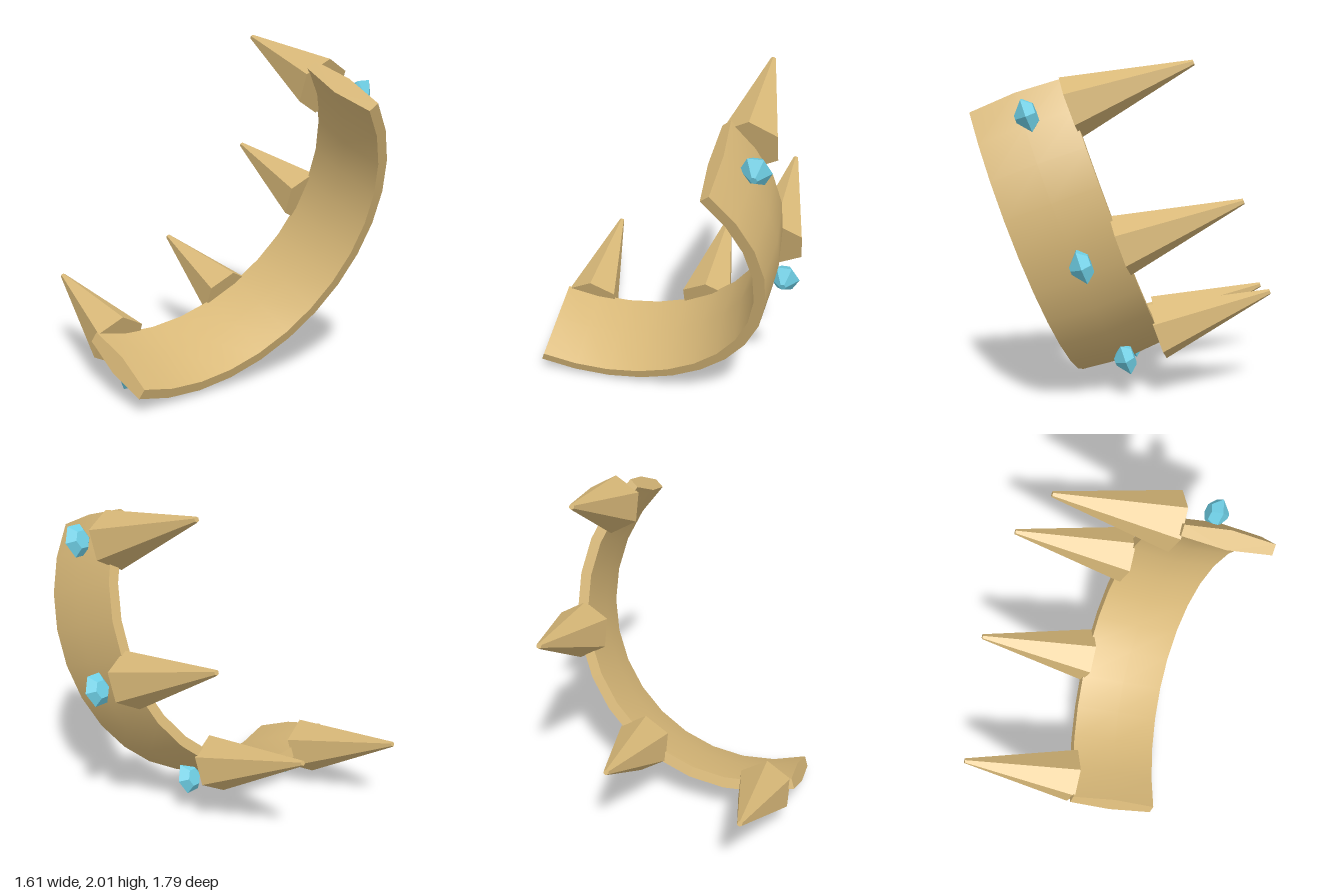
import * as THREE from 'three';
import { mergeGeometries, toCreasedNormals } from 'three/addons/utils/BufferGeometryUtils.js';

const rad = THREE.MathUtils.degToRad;
const START = -110.6, END = 41.3; // arc of the broken ring, in degrees

// Lens-shaped band cross-section: [radius, height], counter-clockwise
const SECTION = [
  [1.085, -0.255], [1.11, 0.02], [1.085, 0.295],
  [1.02, 0.295], [0.995, 0.02], [1.02, -0.255],
].map(([r, h]) => new THREE.Vector2(r, h));

function bandGeometry() {
  const ring = new THREE.LatheGeometry([...SECTION, SECTION[0]], 13, rad(90 - END), rad(END - START));
  const caps = [START, END].map((t) =>
    new THREE.ShapeGeometry(new THREE.Shape(SECTION)).rotateY(-rad(t)).toNonIndexed());
  return toCreasedNormals(mergeGeometries([ring.toNonIndexed(), ...caps]), rad(30));
}

// Six-sided cut stone: small culet, wide girdle, flat table
function gemGeometry() {
  const profile = [[0, -0.065], [0.02, -0.065], [0.088, 0], [0.047, 0.052], [0, 0.052]]
    .map(([r, h]) => new THREE.Vector2(r, h));
  return new THREE.LatheGeometry(profile, 6).rotateY(Math.PI / 6).scale(1, 1, 1.2);
}

export function createModel() {
  const model = new THREE.Group();
  model.name = 'brokenCrown';
  const gold = new THREE.MeshStandardMaterial({ color: 0xd8b878, side: THREE.DoubleSide });
  const goldFlat = new THREE.MeshStandardMaterial({ color: 0xd8b878, flatShading: true });
  const blue = new THREE.MeshStandardMaterial({ color: 0x6fd0e6, flatShading: true });

  // Ring frame: local y is the ring axis, tipped far backwards
  const crown = new THREE.Group();
  crown.name = 'crown';
  crown.rotation.x = -rad(70);
  crown.position.set(-0.41, 1.118, 0.407);
  model.add(crown);

  const add = (name, geometry, material, radius, angle, height) => {
    const mesh = new THREE.Mesh(geometry, material);
    mesh.name = name;
    mesh.position.set(radius * Math.cos(rad(angle)), height, radius * Math.sin(rad(angle)));
    crown.add(mesh);
  };

  add('band', bandGeometry(), gold, 0, 0, 0);

  // Spikes along the rim, each with a gem below it on the outside
  const spike = new THREE.CylinderGeometry(0.016, 0.175, 0.715, 6);
  const gem = gemGeometry();
  for (let i = 0; i < 4; i++) {
    const angle = 31.3 - 44 * i;
    add('spike' + (i + 1), spike, goldFlat, 1.068, angle, 0.64);
    add('gem' + (i + 1), gem, blue, 1.158, angle, 0.055);
  }
  return model;
}
